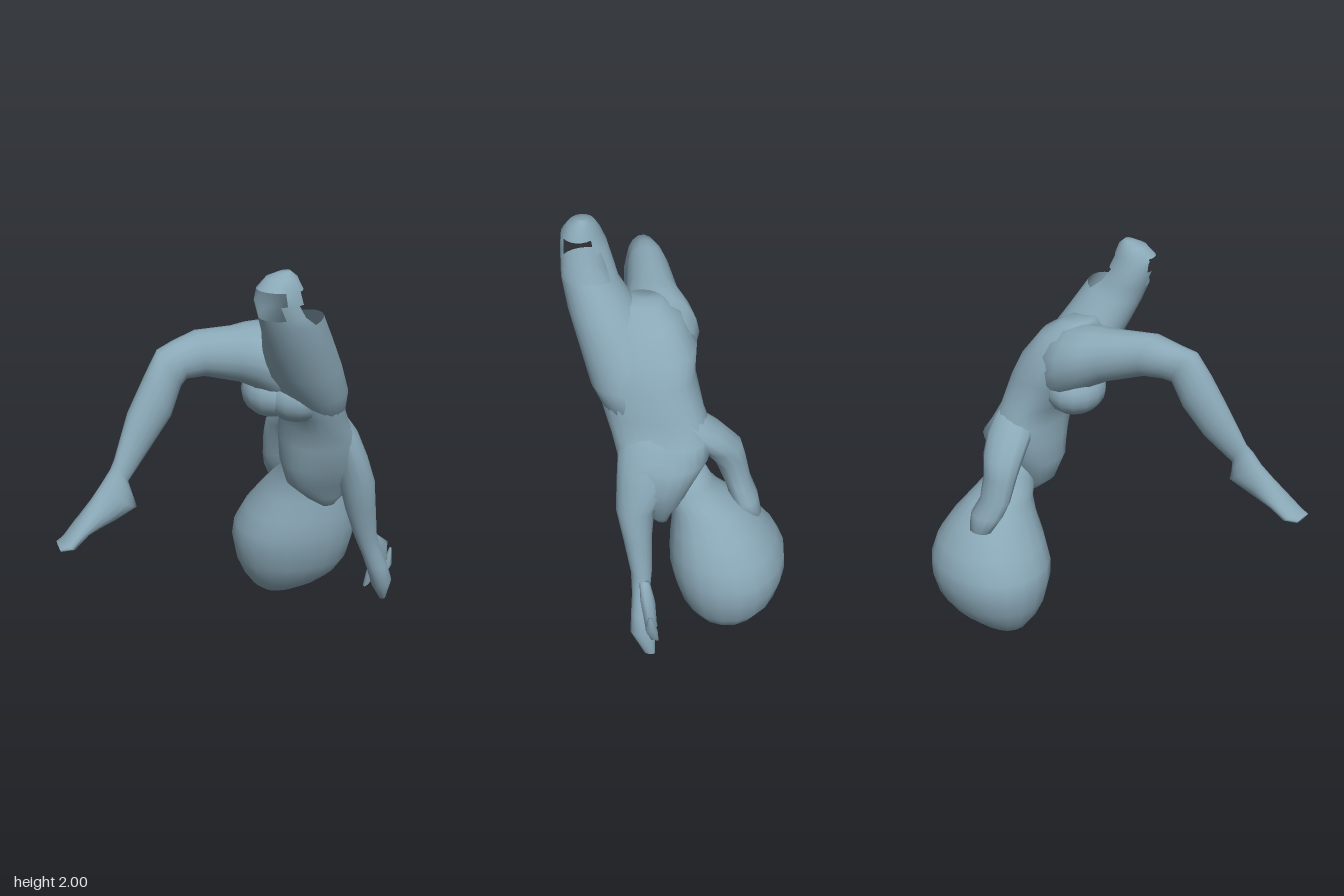
import * as THREE from 'three';

const skin = new THREE.MeshStandardMaterial({ color: 0x8aa8b7, side: THREE.DoubleSide });
skin.name = 'blueGrey';

// Closed loft. Each section is [x1, y1, x2, y2, zMin, zMax]: two opposite
// outline points and the depth range of the ring between them.
// An exponent e under 1 makes the elliptical rings squarer.
function loft(name, sections, { n = 16, e = 1, skip = () => false } = {}) {
  const bend = (v) => Math.sign(v) * Math.abs(v) ** e;
  const rings = sections.map(([x1, y1, x2, y2, z1, z2]) => ({
    c: new THREE.Vector3((x1 + x2) / 2, (y1 + y2) / 2, (z1 + z2) / 2),
    u: new THREE.Vector3((x2 - x1) / 2, (y2 - y1) / 2, 0),
    w: (z2 - z1) / 2,
  }));
  // Choose the turning direction so that faces point outward
  const t = rings[1].c.clone().sub(rings[0].c);
  const sign = t.x * rings[0].u.y - t.y * rings[0].u.x < 0 ? -1 : 1;
  const pts = [], index = [];
  for (const { c, u, w } of rings) {
    for (let j = 0; j < n; j++) {
      const a = (j / n) * Math.PI * 2;
      const p = c.clone().addScaledVector(u, sign * bend(Math.cos(a)));
      p.z += w * bend(Math.sin(a));
      pts.push(p);
    }
  }
  for (let i = 0; i < rings.length - 1; i++) {
    for (let j = 0; j < n; j++) {
      const k = (j + 1) % n;
      const a = i * n + j, b = i * n + k, c = a + n, d = b + n;
      const mid = pts[a].clone().add(pts[b]).add(pts[c]).add(pts[d]).multiplyScalar(0.25);
      if (!skip(mid)) index.push(a, b, c, b, d, c);
    }
  }
  // End caps
  const last = (rings.length - 1) * n, s = pts.length;
  pts.push(rings[0].c, rings[rings.length - 1].c);
  for (let j = 0; j < n; j++) {
    const k = (j + 1) % n;
    index.push(s, k, j, s + 1, last + j, last + k);
  }
  const g = new THREE.BufferGeometry().setFromPoints(pts);
  g.setIndex(index);
  g.computeVertexNormals();
  const mesh = new THREE.Mesh(g, skin);
  mesh.name = name;
  return mesh;
}

function ellipsoid(name, [x, y, z], [rx, ry, rz]) {
  const mesh = new THREE.Mesh(new THREE.SphereGeometry(1, 14, 10), skin);
  mesh.position.set(x, y, z);
  mesh.scale.set(rx, ry, rz);
  mesh.name = name;
  return mesh;
}

export function createModel() {
  const model = new THREE.Group();
  model.name = 'acrobat';

  // Large hanging head of hair
  model.add(loft('hair', [
    [0.38, 0.92, 0.55, 0.92, -0.15, 0.03],
    [0.36, 0.84, 0.58, 0.84, -0.19, 0.03],
    [0.34, 0.78, 0.61, 0.78, -0.24, 0.02],
    [0.32, 0.72, 0.64, 0.72, -0.33, 0.0],
    [0.27, 0.63, 0.7, 0.63, -0.42, 0.0],
    [0.2, 0.52, 0.76, 0.52, -0.5, 0.01],
    [0.15, 0.42, 0.785, 0.42, -0.54, 0.01],
    [0.14, 0.33, 0.785, 0.33, -0.545, -0.005],
    [0.16, 0.22, 0.76, 0.22, -0.515, -0.04],
    [0.2, 0.13, 0.7, 0.13, -0.46, -0.09],
    [0.25, 0.06, 0.61, 0.06, -0.39, -0.16],
    [0.31, 0.015, 0.5, 0.015, -0.33, -0.22],
    [0.37, 0.0, 0.44, 0.0, -0.3, -0.25],
  ], { n: 20, e: 0.94 }));

  // Torso, hips at the top and chest at the bottom
  model.add(loft('torso', [
    [0.16, 1.665, 0.3, 1.655, 0.08, 0.25],
    [0.12, 1.61, 0.39, 1.6, -0.01, 0.33],
    [0.13, 1.47, 0.48, 1.47, -0.09, 0.37],
    [0.18, 1.36, 0.54, 1.36, -0.09, 0.37],
    [0.28, 1.21, 0.56, 1.21, -0.14, 0.32],
    [0.29, 1.12, 0.61, 1.1, -0.18, 0.28],
    [0.285, 1.02, 0.67, 1.02, -0.18, 0.25],
    [0.285, 0.9, 0.69, 0.9, -0.12, 0.22],
    [0.32, 0.78, 0.65, 0.78, -0.07, 0.15],
    [0.42, 0.69, 0.61, 0.69, -0.01, 0.1],
    [0.5, 0.635, 0.57, 0.64, 0.01, 0.07],
  ], { n: 24, e: 0.84 }));
  model.add(ellipsoid('outerButtock', [0.205, 1.315, 0.11], [0.145, 0.125, 0.16]));
  model.add(ellipsoid('innerButtock', [0.31, 1.31, 0.19], [0.16, 0.13, 0.15]));

  // Bent leg with pointed foot
  model.add(loft('rightLeg', [
    [0.36, 1.62, 0.36, 1.22, -0.06, 0.32],
    [0.18, 1.66, 0.18, 1.29, -0.085, 0.3],
    [0.08, 1.665, 0.09, 1.36, -0.03, 0.29],
    [0.0, 1.665, 0.02, 1.4, 0.03, 0.285],
    [-0.19, 1.68, -0.16, 1.465, 0.11, 0.31],
    [-0.3, 1.65, -0.25, 1.47, 0.15, 0.32],
    [-0.385, 1.625, -0.28, 1.45, 0.19, 0.34],
    [-0.45, 1.52, -0.335, 1.32, 0.21, 0.37],
    [-0.54, 1.36, -0.44, 1.19, 0.25, 0.39],
    [-0.62, 1.17, -0.56, 1.06, 0.34, 0.42],
    [-0.645, 1.13, -0.545, 1.0, 0.35, 0.45],
    [-0.69, 1.07, -0.53, 0.945, 0.35, 0.47],
    [-0.74, 1.01, -0.64, 0.9, 0.37, 0.49],
    [-0.82, 0.92, -0.76, 0.865, 0.38, 0.52],
    [-0.88, 0.855, -0.83, 0.815, 0.4, 0.54],
    [-0.91, 0.84, -0.9, 0.815, 0.43, 0.53],
  ]));

  // Raised thigh, hollow and broken open near its end
  const opening = (p) => p.y > 1.785 && p.y < 1.94 &&
    (p.x > 0.205 || (p.x < 0.12 && p.z > 0.43));
  model.add(loft('leftThigh', [
    [0.37, 1.16, 0.55, 1.2, 0.02, 0.29],
    [0.25, 1.3, 0.54, 1.34, 0.05, 0.38],
    [0.14, 1.45, 0.49, 1.48, 0.06, 0.44],
    [0.09, 1.6, 0.41, 1.64, 0.18, 0.5],
    [0.06, 1.71, 0.34, 1.78, 0.28, 0.535],
    [0.035, 1.79, 0.28, 1.81, 0.31, 0.545],
    [0.01, 1.87, 0.245, 1.86, 0.34, 0.55],
    [0.015, 1.93, 0.225, 1.92, 0.37, 0.545],
    [0.06, 1.975, 0.2, 1.975, 0.39, 0.51],
    [0.11, 1.99, 0.17, 2.0, 0.42, 0.47],
  ], { n: 24, skip: opening }));

  // Arm reaching down, with hand and fingers
  model.add(loft('leftArm', [
    [0.4, 1.2, 0.55, 1.2, -0.04, 0.2],
    [0.46, 1.06, 0.65, 1.06, -0.08, 0.235],
    [0.52, 0.92, 0.7, 0.93, -0.02, 0.235],
    [0.56, 0.78, 0.735, 0.8, 0.055, 0.235],
    [0.6, 0.63, 0.755, 0.65, 0.065, 0.2],
    [0.66, 0.47, 0.78, 0.47, 0.06, 0.16],
    [0.71, 0.35, 0.81, 0.37, 0.065, 0.15],
    [0.74, 0.27, 0.85, 0.28, 0.05, 0.15],
    [0.78, 0.15, 0.88, 0.19, 0.03, 0.15],
    [0.84, 0.05, 0.87, 0.06, 0.03, 0.08],
  ]));
  const fingers = [
    [[0.77, 0.45, 0.79, 0.45, 0.06, 0.11], [0.77, 0.34, 0.865, 0.385, 0.03, 0.1], [0.8, 0.2, 0.87, 0.23, 0.02, 0.08]],
    [[0.89, 0.33, 0.9, 0.33, 0.03, 0.05], [0.85, 0.22, 0.905, 0.25, 0.01, 0.07], [0.84, 0.13, 0.87, 0.16, 0.01, 0.05]],
    [[0.77, 0.28, 0.8, 0.28, 0.04, 0.09], [0.745, 0.13, 0.79, 0.17, 0.03, 0.07]],
  ];
  for (const f of fingers) model.add(loft('leftFinger', f, { n: 8 }));

  // Arm folded behind, hand resting on the hair
  model.add(loft('rightArm', [
    [0.36, 1.2, 0.54, 1.2, -0.13, 0.05],
    [0.31, 1.1, 0.54, 1.1, -0.24, -0.02],
    [0.29, 1.01, 0.5, 1.01, -0.315, -0.12],
    [0.29, 0.92, 0.47, 0.92, -0.335, -0.19],
    [0.3, 0.8, 0.47, 0.8, -0.36, -0.24],
    [0.32, 0.72, 0.5, 0.72, -0.4, -0.27],
    [0.36, 0.64, 0.49, 0.64, -0.42, -0.32],
  ], { n: 12 }));

  return model;
}
